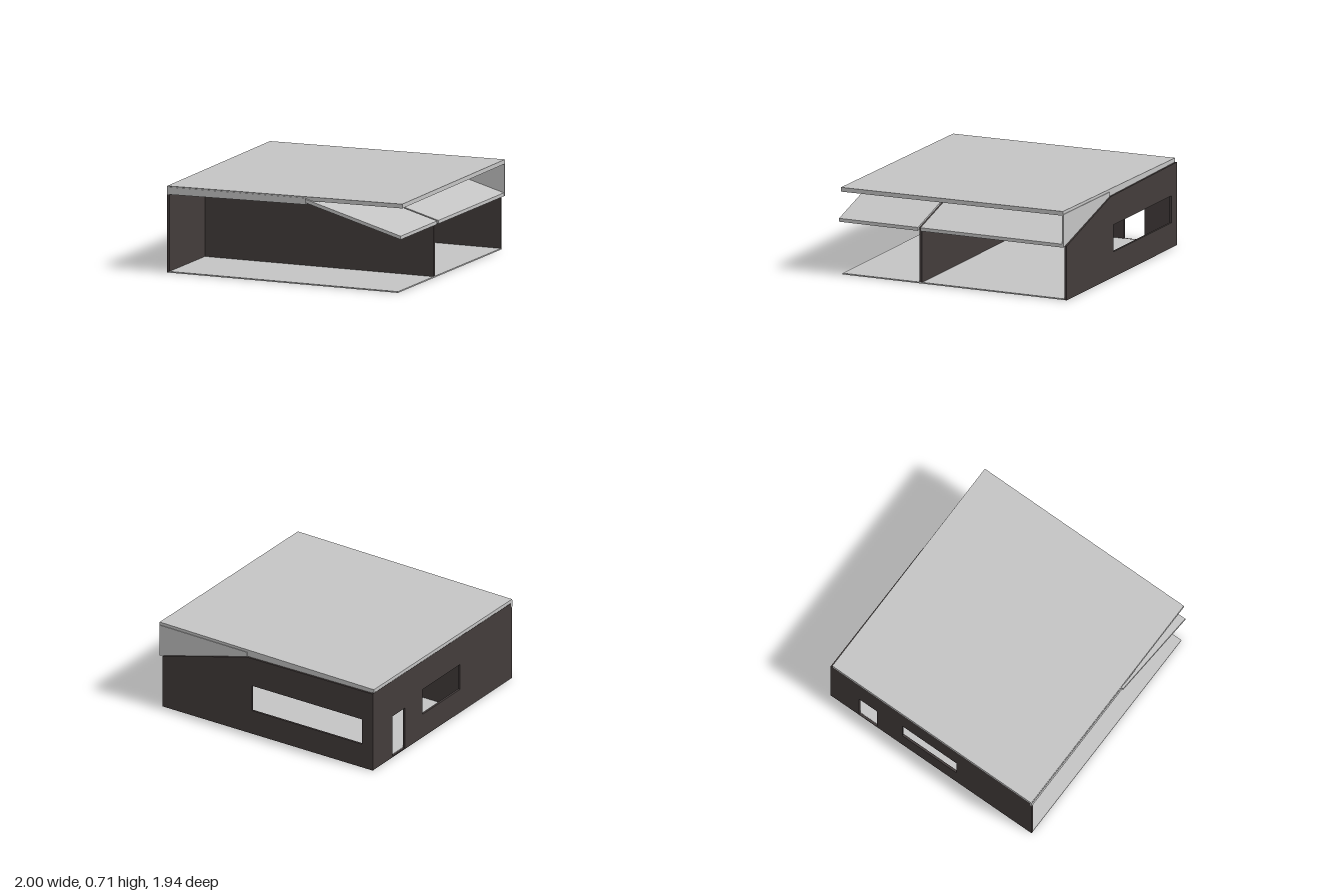
import * as THREE from 'three';

export function createModel() {
  const group = new THREE.Group();
  const pale = new THREE.MeshStandardMaterial({ color: 0xc4c4c4 });
  pale.name = 'paleGrey';
  const dark = new THREE.MeshStandardMaterial({ color: 0x433c3b });
  dark.name = 'darkBrown';

  // Polygon with optional rectangular openings [u0, v0, u1, v1], extruded along z
  const panel = (points, depth, openings = []) => {
    const shape = new THREE.Shape(points.map(p => new THREE.Vector2(...p)));
    for (const [a, b, c, d] of openings) {
      shape.holes.push(new THREE.Path([[a, b], [a, d], [c, d], [c, b]].map(p => new THREE.Vector2(...p))));
    }
    return new THREE.ExtrudeGeometry(shape, { depth, bevelEnabled: false });
  };
  const add = (name, geometry, material) => {
    const mesh = new THREE.Mesh(geometry, material);
    mesh.name = name;
    group.add(mesh);
    return mesh;
  };
  // Section in x and y, running from z0 to z1
  const section = (name, points, z0, z1, material, openings) =>
    add(name, panel(points, z1 - z0, openings).translate(0, 0, z0), material);
  // The main roof rises slightly towards the back
  const tilt = mesh => {
    const p = mesh.geometry.attributes.position;
    for (let i = 0; i < p.count; i++) p.setY(i, p.getY(i) - 0.0065 * p.getZ(i));
    mesh.geometry.computeVertexNormals();
  };

  // Floor slab
  const floor = new THREE.BoxGeometry(1.945, 0.01, 1.905);
  add('floor', floor.translate(-0.0075, 0.005, 0), pale);

  // Back wall with a long window, its top following the roof slopes
  section('backWall', [[-1, 0], [0.965, 0], [0.965, 0.432], [0.18, 0.65], [-1, 0.662]],
    -0.97, -0.953, dark, [[-0.9, 0.2, 0.13, 0.415]]);

  // Left-hand end wall with a window and a door
  const endWall = panel([[-0.955, 0], [0.953, 0], [0.953, 0.651], [-0.955, 0.664]], 0.018,
    [[-0.285, 0.2, 0.235, 0.415], [-0.7, 0.01, -0.525, 0.355]]);
  add('endWall', endWall.rotateY(-Math.PI / 2).translate(-0.981, 0, 0), dark);

  // Inner wall between the two open rooms, rising into the gap of the low roof
  section('partitionWall', [[-0.985, 0.008], [0.965, 0.008], [0.965, 0.447], [0.18, 0.662], [-0.985, 0.64]],
    0.27, 0.292, dark);

  // Main roof: thick over the closed side, thin where it overhangs
  tilt(section('mainRoof', [[-1, 0.66], [-0.981, 0.66], [-0.981, 0.623], [0.18, 0.638], [0.18, 0.668],
    [1, 0.674], [1, 0.708], [-1, 0.688]], -0.955, 0.95, pale));
  tilt(section('roofFascia', [[-1, 0.622], [0.18, 0.638], [0.18, 0.69], [-1, 0.68]], 0.938, 0.955, pale));

  // Low sloping roof in two parts
  for (const [name, z0, z1] of [['lowRoofFront', 0.292, 0.968], ['lowRoofBack', -0.955, 0.27]]) {
    section(name, [[0.18, 0.65], [0.995, 0.425], [0.995, 0.452], [0.18, 0.678]], z0, z1, pale);
  }

  // Panel closing the back between the two roofs
  section('gablePanel', [[0.18, 0.65], [0.998, 0.427], [0.998, 0.69], [0.18, 0.685]], -0.96, -0.945, pale);

  return group;
}
